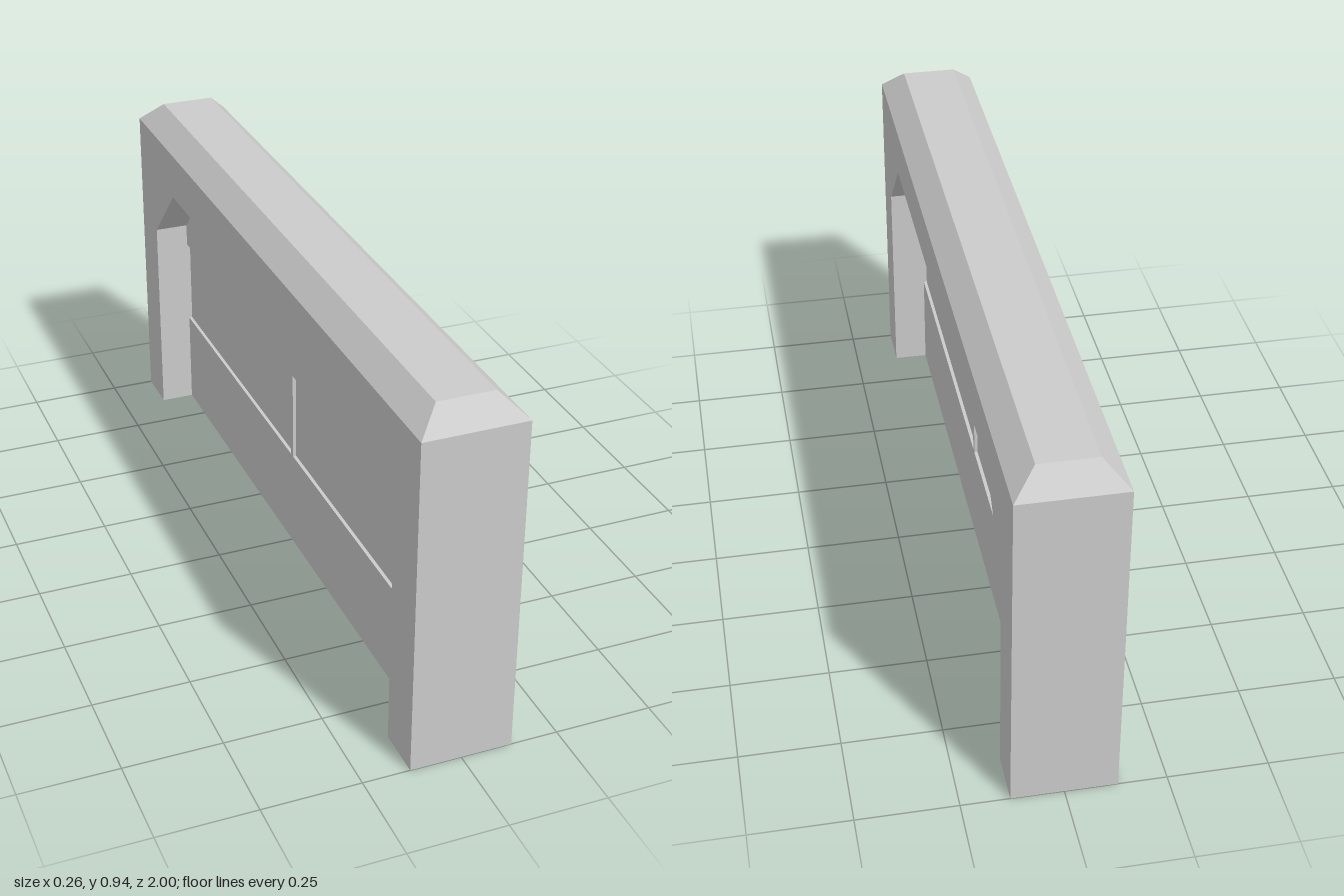
import * as THREE from 'three';

const material = new THREE.MeshStandardMaterial({ color: 0xcccccc, flatShading: true });

const HALF_X = 0.13, HALF_Z = 1, WALL_TOP = 0.88, TOP = 0.937, BEVEL = 0.058;
const OPEN_Z = 0.87, OPEN_TOP = 0.752, SHOULDER_Z = 0.695, SHOULDER_Y = 0.577;
const DOOR_X = 0.038, PANE_X = 0.029, BAND_LOW = 0.27, BAND_HIGH = 0.515;

function part(name, geometry) {
  const mesh = new THREE.Mesh(geometry, material);
  mesh.name = name;
  return mesh;
}

// Extrudes a (z, y) outline symmetrically across x
function slab(name, points, halfThickness) {
  const shape = new THREE.Shape(points.map(([z, y]) => new THREE.Vector2(z, y)));
  const geometry = new THREE.ExtrudeGeometry(shape, { depth: halfThickness * 2, bevelEnabled: false });
  geometry.translate(0, 0, -halfThickness).rotateY(-Math.PI / 2);
  return part(name, geometry);
}

function block(name, halfX, y0, y1, z0, z1) {
  const geometry = new THREE.BoxGeometry(halfX * 2, y1 - y0, z1 - z0);
  geometry.translate(0, (y0 + y1) / 2, (z0 + z1) / 2);
  return part(name, geometry);
}

export function createModel() {
  const group = new THREE.Group();
  group.name = 'gateway';

  // Thick surround with a chamfered opening
  group.add(slab('frame', [
    [-HALF_Z, 0], [-OPEN_Z, 0], [-OPEN_Z, SHOULDER_Y], [-SHOULDER_Z, OPEN_TOP],
    [SHOULDER_Z, OPEN_TOP], [OPEN_Z, SHOULDER_Y], [OPEN_Z, 0], [HALF_Z, 0],
    [HALF_Z, WALL_TOP], [-HALF_Z, WALL_TOP],
  ], HALF_X));

  // Bevelled cap: a box whose upper corners are drawn inward
  const cap = block('bevelledCap', HALF_X, WALL_TOP, TOP, -HALF_Z, HALF_Z);
  const pos = cap.geometry.attributes.position;
  for (let i = 0; i < pos.count; i++) {
    if (pos.getY(i) < (WALL_TOP + TOP) / 2) continue;
    pos.setX(i, pos.getX(i) - Math.sign(pos.getX(i)) * BEVEL);
    pos.setZ(i, pos.getZ(i) - Math.sign(pos.getZ(i)) * BEVEL);
  }
  cap.geometry.computeVertexNormals();
  group.add(cap);

  // Door recessed on both faces
  const door = new THREE.Group();
  door.name = 'door';
  door.add(block('lowerPanel', DOOR_X, 0, BAND_LOW, -OPEN_Z, OPEN_Z));
  door.add(slab('upperPanel', [
    [-OPEN_Z, BAND_HIGH], [OPEN_Z, BAND_HIGH], [OPEN_Z, SHOULDER_Y],
    [SHOULDER_Z, OPEN_TOP], [-SHOULDER_Z, OPEN_TOP], [-OPEN_Z, SHOULDER_Y],
  ], DOOR_X));
  door.add(block('centrePost', DOOR_X, BAND_LOW, BAND_HIGH, -0.008, 0.008));

  // Sunken middle panels either side of the post
  for (const [name, z0, z1] of [['frontPane', 0.008, OPEN_Z], ['backPane', -OPEN_Z, -0.008]]) {
    door.add(block(name, PANE_X, BAND_LOW, BAND_HIGH, z0, z1));
  }
  group.add(door);
  return group;
}
